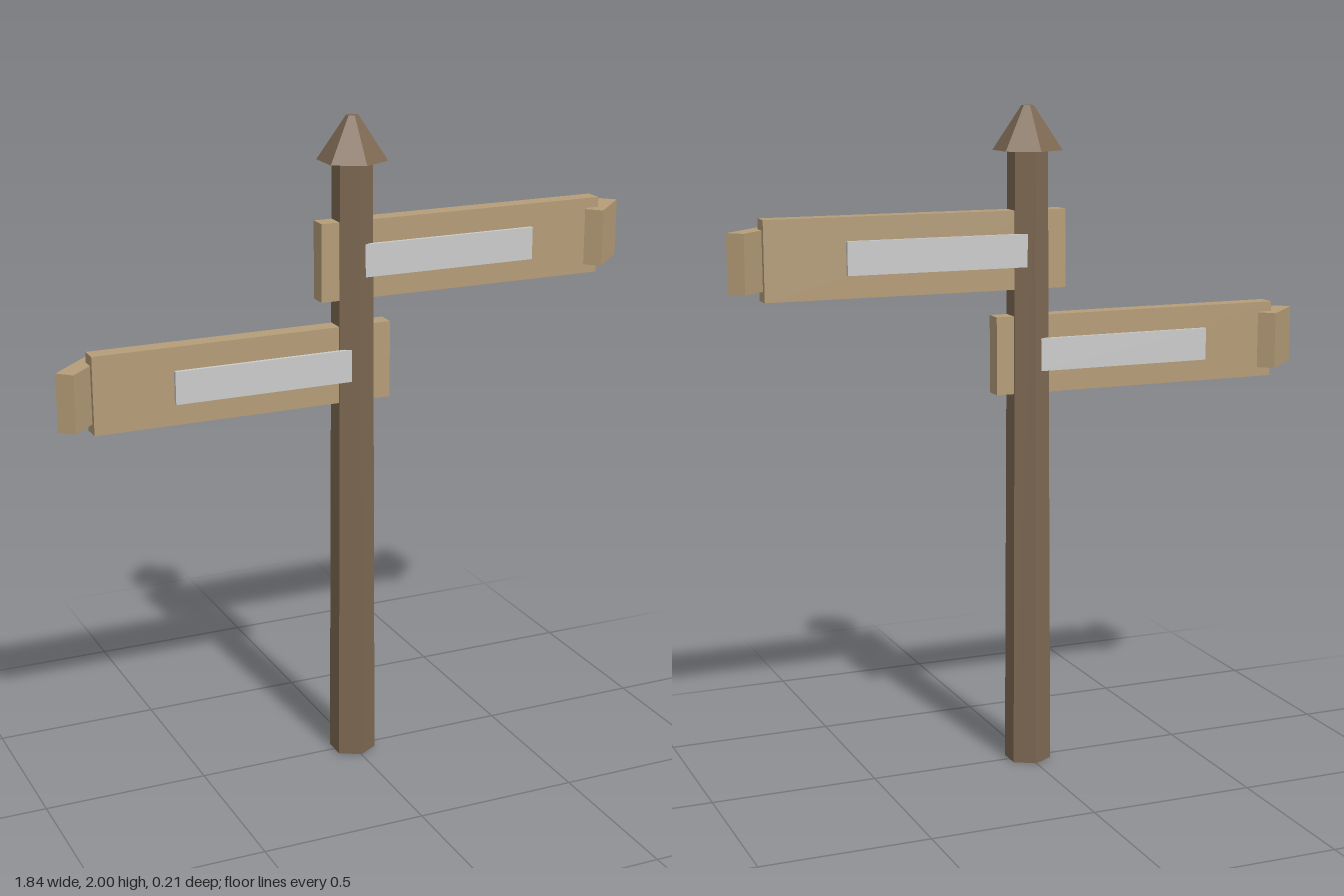
import * as THREE from 'three';

export function createModel() {
  const model = new THREE.Group();
  const material = (color) => new THREE.MeshStandardMaterial({ color, flatShading: true });
  const darkWood = material(0x7d6852);
  const lightWood = material(0xb59d78);
  const plateGrey = material(0xcccccc);

  function add(parent, name, geometry, mat, x, y, z) {
    const mesh = new THREE.Mesh(geometry, mat);
    mesh.name = name;
    mesh.position.set(x, y, z);
    parent.add(mesh);
    return mesh;
  }

  // Tapered six-sided post with a blunt pointed cap
  add(model, 'post', new THREE.CylinderGeometry(0.06, 0.071, 1.88, 6), darkWood, 0, 0.94, 0);
  add(model, 'cap', new THREE.CylinderGeometry(0.018, 0.104, 0.13, 6), darkWood, 0, 1.935, 0);

  // One direction arm pointing to +x, with a plate on each face and a slanted end block
  function createArm(name) {
    const arm = new THREE.Group();
    arm.name = name;
    add(arm, 'board', new THREE.BoxGeometry(0.92, 0.233, 0.056), lightWood, 0.35, 0, 0);
    for (const side of [1, -1]) {
      add(arm, side > 0 ? 'frontPlate' : 'backPlate',
        new THREE.BoxGeometry(0.572, 0.098, 0.012), plateGrey, 0.286, 0, side * 0.044);
    }
    const tip = add(arm, 'endBlock', new THREE.BoxGeometry(0.173, 0.172, 0.056), lightWood, 0.838, 0, 0);
    tip.rotation.y = Math.PI / 4;
    return arm;
  }

  // The lower arm is the upper one turned half round the post
  const upperArm = createArm('upperArm');
  upperArm.position.y = 1.581;
  const lowerArm = createArm('lowerArm');
  lowerArm.position.y = 1.269;
  lowerArm.rotation.y = Math.PI;
  model.add(upperArm, lowerArm);

  return model;
}
